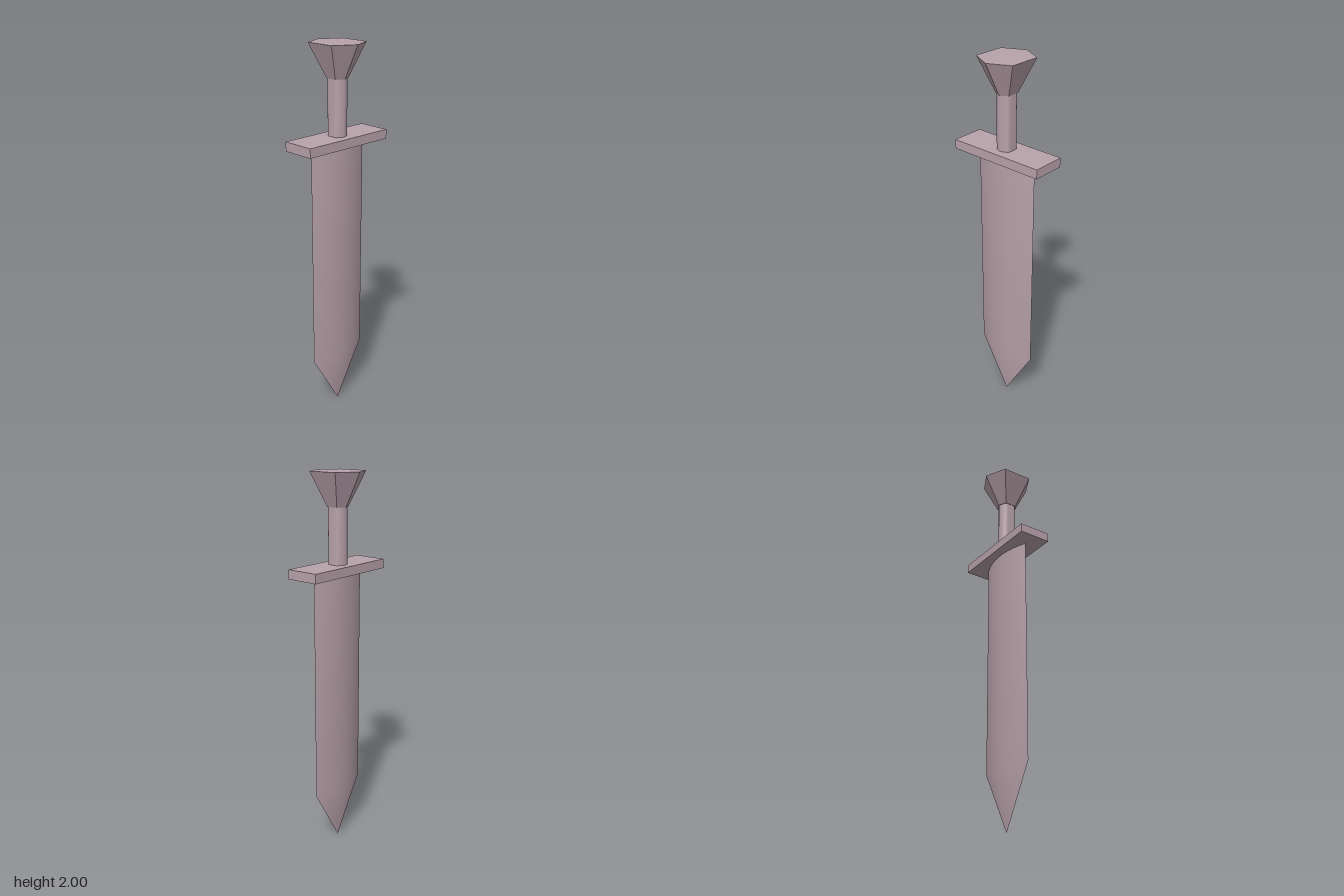
import * as THREE from 'three';
import { toCreasedNormals } from 'three/addons/utils/BufferGeometryUtils.js';

// Closed convex loft: section is [x, z] counterclockwise from above, levels are [y, scale] rising
function loft(section, levels, creaseAngle) {
  const pos = [];
  const n = section.length;
  const at = (i, [y, s]) => [section[i % n][0] * s, y, section[i % n][1] * s];
  for (let k = 0; k < levels.length - 1; k++) {
    for (let i = 0; i < n; i++) {
      const a = at(i, levels[k]), b = at(i + 1, levels[k]);
      const c = at(i + 1, levels[k + 1]), d = at(i, levels[k + 1]);
      pos.push(...a, ...b, ...c, ...a, ...c, ...d);
    }
  }
  const low = levels[0], high = levels[levels.length - 1];
  for (let i = 0; i < n; i++) {
    pos.push(0, low[0], 0, ...at(i + 1, low), ...at(i, low));
    pos.push(0, high[0], 0, ...at(i, high), ...at(i + 1, high));
  }
  const geometry = new THREE.BufferGeometry();
  geometry.setAttribute('position', new THREE.Float32BufferAttribute(pos, 3));
  geometry.computeVertexNormals();
  return creaseAngle ? toCreasedNormals(geometry, creaseAngle) : geometry;
}

// Replaces each corner of a polygon with a short curve
function roundCorners(points, amount, steps) {
  const out = [];
  const v = points.map(([x, z]) => new THREE.Vector2(x, z));
  v.forEach((p, i) => {
    const before = v[(i + v.length - 1) % v.length], after = v[(i + 1) % v.length];
    const curve = new THREE.QuadraticBezierCurve(p.clone().lerp(before, amount), p, p.clone().lerp(after, amount));
    curve.getPoints(steps).forEach((q) => out.push([q.x, q.y]));
  });
  return out;
}

export function createModel() {
  const group = new THREE.Group();
  group.name = 'sword';
  const metal = new THREE.MeshStandardMaterial({ color: 0xb8a2aa });
  metal.name = 'dustyMauve';

  const add = (name, geometry) => {
    const mesh = new THREE.Mesh(geometry, metal);
    mesh.name = name;
    group.add(mesh);
    return mesh;
  };

  // Blade: lens section with two sharp edges, tapering to a point
  const halfWidth = 0.178, halfDepth = 0.04, steps = 16;
  const lens = [];
  for (const side of [1, -1]) {
    for (let i = 0; i < steps; i++) {
      const t = side * (1 - (2 * i) / steps);
      lens.push([halfWidth * t, -side * halfDepth * (1 - t * t)]);
    }
  }
  add('blade', loft(lens, [[0, 0.002], [0.31, 1], [1.5, 1]], 0.6));

  // Crossguard
  add('guard', new THREE.BoxGeometry(0.526, 0.048, 0.176)).position.y = 1.523;

  // Grip and pommel share a slightly twisted hexagon
  const hexagon = [
    [0.002, -0.14], [-0.112, -0.086], [-0.116, 0.079],
    [-0.003, 0.138], [0.111, 0.084], [0.114, -0.081],
  ];
  add('grip', loft(roundCorners(hexagon, 0.2, 4), [[1.54, 0.36], [1.835, 0.36]], 0.7));
  add('pommel', loft(hexagon, [[1.83, 0.38], [2, 1]]));

  return group;
}
